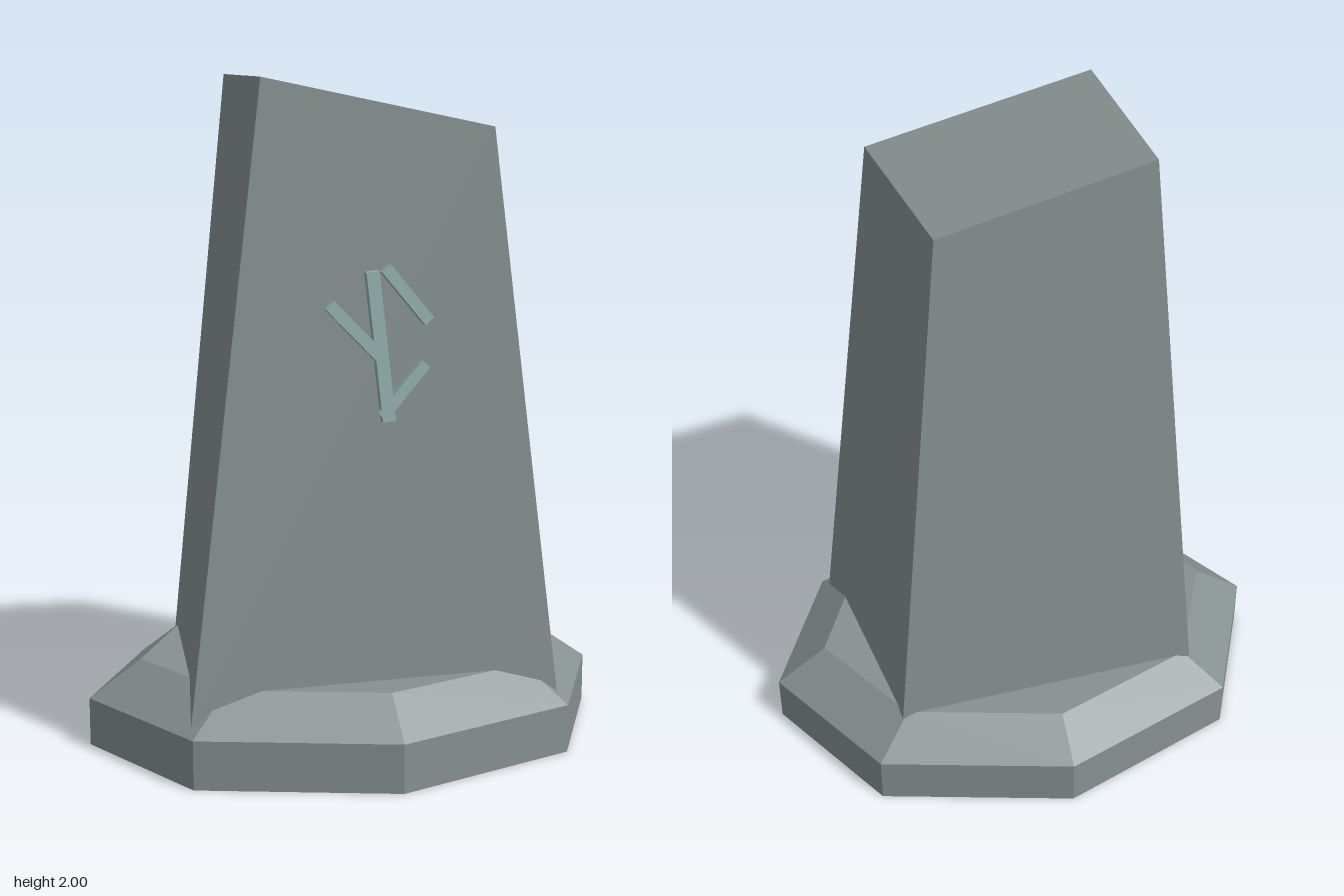
import * as THREE from 'three';

export function createModel() {
  const stone = new THREE.MeshStandardMaterial({ name: 'stone', color: 0x879090, flatShading: true });
  const paleStone = new THREE.MeshStandardMaterial({ name: 'paleStone', color: 0x95b4b0, flatShading: true });
  const model = new THREE.Group();
  model.name = 'standingStone';

  const add = (name, geometry, material, parent = model) => {
    const mesh = new THREE.Mesh(geometry, material);
    mesh.name = name;
    parent.add(mesh);
    return mesh;
  };

  // Eight-sided plinth with a sloped shoulder, narrower front to back
  const profile = [[0, 0], [0.8, 0], [0.8, 0.145], [0.643, 0.255], [0, 0.255]]
    .map(([r, y]) => new THREE.Vector2(r, y));
  add('plinth', new THREE.LatheGeometry(profile, 8).scale(1, 1, 0.777), stone);

  // Tapered pillar: a box whose corners are moved to an uneven, slanted block
  // Keys give the side in x (L is -x), y (T top, B bottom) and z (F front, K back)
  const corners = {
    LTF: [-0.335, 1.98, 0.345], RTF: [0.353, 1.845, 0.322],
    LTK: [-0.312, 2.0, -0.27], RTK: [0.312, 1.88, -0.302],
    LBF: [-0.563, 0.15, 0.39], RBF: [0.553, 0.15, 0.39],
    LBK: [-0.482, 0.15, -0.368], RBK: [0.482, 0.15, -0.368],
  };
  const block = new THREE.BoxGeometry(1, 1, 1);
  const p = block.attributes.position;
  for (let i = 0; i < p.count; i++) {
    const key = (p.getX(i) < 0 ? 'L' : 'R') + (p.getY(i) > 0 ? 'T' : 'B') + (p.getZ(i) > 0 ? 'F' : 'K');
    p.setXYZ(i, ...corners[key]);
  }
  block.computeVertexNormals();
  add('pillar', block, stone);

  // Raised rune strokes on the front: start x, y, end x, y, width
  const rune = new THREE.Group();
  rune.name = 'rune';
  model.add(rune);
  const strokes = [
    ['runeStem', -0.03, 1.447, 0.02, 1.02, 0.038],
    ['runeLeftArm', -0.153, 1.356, 0, 1.2, 0.034],
    ['runeRightArm', 0.01, 1.455, 0.138, 1.303, 0.034],
    ['runeFoot', 0.128, 1.182, 0, 1.033, 0.032],
  ];
  strokes.forEach(([name, x1, y1, x2, y2, width], i) => {
    const length = Math.hypot(x2 - x1, y2 - y1);
    const depth = 0.027 - i * 0.0004;
    const stroke = add(name, new THREE.BoxGeometry(width, length, depth), paleStone, rune);
    stroke.position.set((x1 + x2) / 2, (y1 + y2) / 2, 0.384);
    stroke.rotation.z = Math.atan2(x1 - x2, y2 - y1);
  });

  return model;
}
